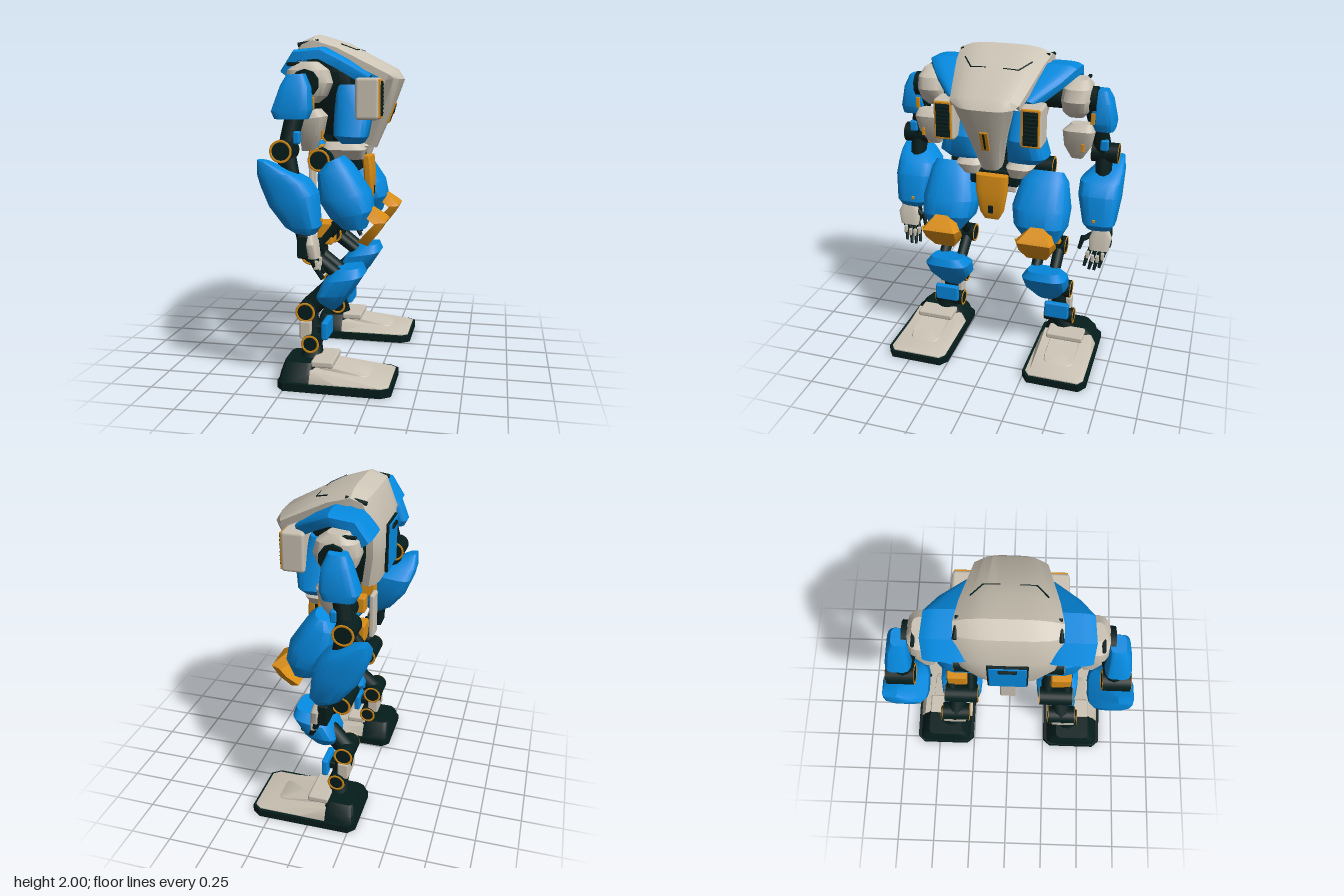
import * as THREE from 'three';
import { toCreasedNormals } from 'three/addons/utils/BufferGeometryUtils.js';
import { RoundedBoxGeometry } from 'three/addons/geometries/RoundedBoxGeometry.js';

const material = (name, color) => Object.assign(new THREE.MeshStandardMaterial({ color }), { name });
const blue = material('blue armour', 0x058ae0);
const white = material('warm white armour', 0xccc4b5);
const dark = material('dark frame', 0x051d1c);
const orange = material('orange accent', 0xdc8f16);

// Closed skin through equal-length rings, capped at both ends
function loft(rings, crease = 0.55) {
  const n = rings[0].length, pos = rings.flat(2), index = [];
  for (let i = 0; i < rings.length - 1; i++)
    for (let j = 0; j < n; j++) {
      const a = i * n + j, b = i * n + (j + 1) % n;
      index.push(a, b, a + n, b, b + n, a + n);
    }
  [0, rings.length - 1].forEach(i => {
    const c = pos.length / 3;
    pos.push(...[0, 1, 2].map(k => rings[i].reduce((s, p) => s + p[k] / n, 0)));
    for (let j = 0; j < n; j++) {
      const a = i * n + j, b = i * n + (j + 1) % n;
      index.push(...(i ? [a, b, c] : [b, a, c]));
    }
  });
  // Turn the faces outwards if the enclosed volume is negative
  let volume = 0;
  const v = k => new THREE.Vector3().fromArray(pos, 3 * index[k]);
  for (let k = 0; k < index.length; k += 3) volume += v(k).dot(v(k + 1).cross(v(k + 2)));
  if (volume < 0) index.reverse();
  const g = new THREE.BufferGeometry();
  g.setAttribute('position', new THREE.Float32BufferAttribute(pos, 3));
  g.setIndex(index);
  return toCreasedNormals(g, crease);
}

// Armour pod from sections [xBack, yBack, xFront, yFront, zMin, zMax]
function pod(sections, power = 3, sides = 16) {
  const sq = v => Math.sign(v) * Math.abs(v) ** (2 / power);
  return loft(sections.map(([xa, ya, xb, yb, za, zb]) => Array.from({ length: sides }, (_, j) => {
    const t = (j + 0.5) / sides * Math.PI * 2, u = (sq(Math.cos(t)) + 1) / 2, w = (sq(Math.sin(t)) + 1) / 2;
    return [xa + (xb - xa) * u, ya + (yb - ya) * u, za + (zb - za) * w];
  })));
}

// Curved plate following a side path of [x, y, zMin, zMax]; its edges bend inwards
function plate(path, thickness, drop) {
  return loft(path.map(([x, y, za, zb], i) => {
    const p = path[Math.max(i - 1, 0)], q = path[Math.min(i + 1, path.length - 1)];
    const len = Math.hypot(q[0] - p[0], q[1] - p[1]), nx = (p[1] - q[1]) / len, ny = (q[0] - p[0]) / len;
    const row = depth => Array.from({ length: 9 }, (_, j) => {
      const t = j / 4 - 1, o = -drop * t ** 4 - depth;
      return [x + nx * o, y + ny * o, (za + zb) / 2 + (zb - za) / 2 * t];
    });
    return [...row(0), ...row(thickness).reverse()];
  }));
}

const box = (w, h, d, x, y, z, r = 0.012) =>
  new RoundedBoxGeometry(w, h, d, 1, Math.min(r, w / 3, h / 3, d / 3)).translate(x, y, z);

function bar(a, b, r0, r1 = r0, sides = 10) {
  const d = new THREE.Vector3(...b).sub(new THREE.Vector3(...a));
  const g = new THREE.CylinderGeometry(r1, r0, d.length(), sides).translate(0, d.length() / 2, 0);
  g.applyQuaternion(new THREE.Quaternion().setFromUnitVectors(new THREE.Vector3(0, 1, 0), d.normalize()));
  return g.translate(...a);
}

// Mirror across the centre plane and restore the winding
function mirrored(g) {
  const m = g.index ? g.toNonIndexed() : g.clone();
  for (const a of [m.attributes.position, m.attributes.normal])
    for (let i = 0; i < a.count; i += 3)
      [0, 2, 1].map(k => [a.getX(i + k), a.getY(i + k), -a.getZ(i + k)]).forEach((p, k) => a.setXYZ(i + k, ...p));
  return m;
}

export function createModel() {
  const model = new THREE.Group();
  model.name = 'walkingRobot';
  const part = (name, g, mat) => {
    const mesh = new THREE.Mesh(g, mat);
    mesh.name = name;
    model.add(mesh);
  };
  const pair = (name, g, mat) => {
    part(name + 'A', g, mat);
    part(name + 'B', mirrored(g), mat);
  };
  const joint = (name, x, y, z0, z1, r) => {
    pair(name, bar([x, y, z0], [x, y, z1], r, r, 24), dark);
    for (const z of [z0, z1])
      pair(name + 'Ring', new THREE.TorusGeometry(r * 0.9, 0.007, 6, 24).scale(1, 1, 0.4).translate(x, y, z), orange);
  };

  // Torso
  part('carapace', plate([[-0.28, 1.42, -0.2, 0.2], [-0.315, 1.62, -0.25, 0.25], [-0.315, 1.8, -0.27, 0.27],
    [-0.25, 1.96, -0.28, 0.28], [-0.15, 2, -0.28, 0.28], [0, 1.955, -0.26, 0.26], [0.3, 1.8, -0.2, 0.2],
    [0.34, 1.74, -0.17, 0.17], [0.27, 1.54, -0.115, 0.115], [0.18, 1.33, -0.065, 0.065]], 0.04, 0.04), white);
  part('torsoFrame', pod([[-0.2, 1.9, 0.02, 1.87, -0.24, 0.24], [-0.27, 1.78, 0.1, 1.78, -0.26, 0.26],
    [-0.27, 1.6, 0.12, 1.6, -0.23, 0.23], [-0.22, 1.42, 0.1, 1.4, -0.14, 0.14]], 4), dark);
  part('waist', bar([0, 1.2, 0], [-0.02, 1.45, 0], 0.08), dark);
  part('pelvisFrame', box(0.2, 0.1, 0.3, 0, 1.25, 0), dark);
  part('backPanelRim', box(0.02, 0.29, 0.22, -0.319, 1.63, 0), dark);
  part('backPanel', box(0.02, 0.275, 0.205, -0.324, 1.63, 0), blue);
  part('backLatch', box(0.02, 0.025, 0.1, -0.336, 1.74, 0), dark);
  part('chestMarker', box(0.012, 0.13, 0.05, 0, 0, 0).rotateZ(-0.36).translate(0.271, 1.54, 0), orange);
  part('chestSlot', box(0.008, 0.11, 0.012, 0, 0, 0).rotateZ(-0.36).translate(0.277, 1.54, 0), dark);
  part('groinPlate', pod([[0.1, 1.28, 0.155, 1.28, -0.098, 0.098], [0.11, 1.18, 0.165, 1.18, -0.095, 0.095],
    [0.11, 1.05, 0.165, 1.05, -0.072, 0.072], [0.12, 1, 0.15, 1, -0.045, 0.045]], 5), orange);
  part('groinSlot', box(0.008, 0.05, 0.03, 0.165, 1.07, 0), dark);
  part('tailPlate', box(0.03, 0.28, 0.1, -0.225, 1.16, 0), white);
  pair('tailMount', box(0.09, 0.1, 0.08, -0.165, 1.28, 0.12), orange);
  pair('roofSeam', bar([0.08, 1.912, 0.05], [0.08, 1.909, 0.14], 0.004), dark);
  pair('roofSeamSlant', bar([0.08, 1.909, 0.14], [0, 1.941, 0.2], 0.004), dark);
  pair('roofNotch', bar([-0.24, 1.935, 0.268], [-0.12, 1.955, 0.258], 0.012), dark);

  pair('shoulderYoke', plate([[-0.31, 1.79, 0.2, 0.44], [-0.23, 1.905, 0.2, 0.45], [-0.07, 1.92, 0.2, 0.44],
    [0.05, 1.855, 0.18, 0.37], [0.18, 1.765, 0.16, 0.25]], 0.05, 0.02), blue);
  pair('chestSide', pod([[-0.03, 1.71, 0.1, 1.71, 0.1, 0.25], [-0.04, 1.52, 0.18, 1.52, 0.08, 0.3],
    [-0.04, 1.42, 0.16, 1.41, 0.08, 0.33], [0, 1.37, 0.13, 1.37, 0.08, 0.28]]), blue);
  pair('ventBox', box(0.14, 0.24, 0.13, 0.17, 1.63, 0.255, 0.02), white);
  pair('ventFrame', box(0.02, 0.222, 0.104, 0.237, 1.63, 0.257), orange);
  pair('ventGrille', box(0.016, 0.2, 0.086, 0.242, 1.63, 0.257), dark);
  for (let i = 0; i < 8; i++) pair('ventSlat', box(0.012, 0.01, 0.075, 0.248, 1.55 + i * 0.023, 0.257), dark);
  pair('pelvisGuard', pod([[-0.1, 1.37, 0.1, 1.37, 0.1, 0.21], [-0.12, 1.33, 0.14, 1.33, 0.07, 0.24],
    [-0.1, 1.27, 0.12, 1.27, 0.09, 0.19]], 4), white);

  // Arms
  pair('shoulderAxle', bar([-0.13, 1.72, 0.2], [-0.13, 1.72, 0.56], 0.075), dark);
  pair('shoulderBall', pod([[-0.19, 1.835, -0.08, 1.835, 0.39, 0.5], [-0.25, 1.79, -0.02, 1.79, 0.36, 0.53],
    [-0.265, 1.72, 0, 1.72, 0.35, 0.535], [-0.24, 1.65, -0.03, 1.65, 0.36, 0.52],
    [-0.18, 1.61, -0.08, 1.61, 0.39, 0.49]]), white);
  pair('shoulderSlot', box(0.09, 0.02, 0.02, -0.2, 1.823, 0.49), dark);
  pair('upperArmLink', bar([-0.15, 1.7, 0.53], [-0.22, 1.37, 0.6], 0.06, 0.05), dark);
  pair('upperArmGuard', pod([[-0.22, 1.765, -0.12, 1.77, 0.53, 0.615], [-0.25, 1.71, -0.09, 1.7, 0.525, 0.645],
    [-0.3, 1.57, -0.08, 1.58, 0.52, 0.67], [-0.28, 1.53, -0.1, 1.53, 0.54, 0.665]], 4), blue);
  pair('upperArmMarker', box(0.012, 0.07, 0.025, -0.085, 1.61, 0.545), orange);
  pair('innerArmGuard', pod([[-0.14, 1.575, -0.06, 1.58, 0.42, 0.54], [-0.17, 1.52, -0.03, 1.54, 0.37, 0.56],
    [-0.17, 1.42, -0.05, 1.44, 0.38, 0.54], [-0.17, 1.345, -0.1, 1.35, 0.42, 0.49]], 4), white);
  pair('innerArmMarker', box(0.012, 0.05, 0.02, -0.045, 1.44, 0.5), orange);
  pair('elbowTab', box(0.04, 0.07, 0.05, -0.16, 1.43, 0.61), blue);
  joint('elbow', -0.23, 1.36, 0.53, 0.69, 0.062);
  pair('forearmFrame', bar([-0.23, 1.36, 0.6], [-0.12, 0.88, 0.63], 0.055, 0.04), dark);
  pair('forearmShell', pod([[-0.36, 1.315, -0.3, 1.305, 0.63, 0.715], [-0.37, 1.24, -0.16, 1.24, 0.53, 0.73],
    [-0.355, 1.17, -0.1, 1.2, 0.47, 0.73], [-0.31, 1.06, -0.05, 1.13, 0.47, 0.73],
    [-0.22, 0.95, -0.03, 0.95, 0.51, 0.715], [-0.17, 0.92, -0.06, 0.905, 0.54, 0.69]], 3.5), blue);
  pair('forearmMarker', box(0.012, 0.02, 0.02, -0.033, 0.98, 0.59), orange);

  // Hands
  pair('palm', box(0.06, 0.13, 0.125, -0.115, 0.845, 0.635), dark);
  pair('handPlate', pod([[-0.1, 0.915, -0.06, 0.91, 0.59, 0.68], [-0.1, 0.86, -0.045, 0.86, 0.565, 0.705],
    [-0.09, 0.78, -0.035, 0.78, 0.57, 0.69]], 4), white);
  for (let i = 0; i < 4; i++) {
    const z = 0.677 - i * 0.031, low = 0.69 - (i === 1 || i === 2 ? 0.02 : 0);
    pair('fingerBase', bar([-0.08, 0.8, z], [-0.05, low + 0.03, z - 0.025], 0.014, 0.013, 8), dark);
    pair('fingerPlate', box(0.025, 0.05, 0.022, -0.048, low + 0.05, z - 0.02, 0.006), white);
    pair('fingerTip', bar([-0.05, low + 0.03, z - 0.025], [-0.025, low - 0.02, z - 0.035], 0.013, 0.009, 8), dark);
  }
  pair('thumbBase', bar([-0.08, 0.87, 0.58], [-0.06, 0.84, 0.53], 0.018, 0.016, 8), dark);
  pair('thumbTip', bar([-0.06, 0.86, 0.53], [-0.04, 0.78, 0.51], 0.016, 0.011, 8), dark);

  // Thighs and knees
  joint('hip', -0.11, 1.275, 0.12, 0.32, 0.066);
  pair('thighShell', pod([[-0.06, 1.265, 0.03, 1.305, 0.2, 0.4], [-0.115, 1.2, 0.085, 1.255, 0.15, 0.43],
    [-0.11, 1.05, 0.19, 1.1, 0.11, 0.46], [-0.04, 0.95, 0.21, 1, 0.13, 0.455],
    [0.03, 0.89, 0.17, 0.89, 0.2, 0.41]], 2.8), blue);
  pair('kneeCap', loft([[0.2, 1.015, 0.24, 0.36, -0.035], [0.28, 0.95, 0.18, 0.41, -0.02], [0.29, 0.935, 0.17, 0.42, 0],
    [0.25, 0.87, 0.175, 0.415, 0.015], [0.185, 0.79, 0.21, 0.38, 0.025]].map(([x, y, a, b, s]) =>
    [[x, y, a + 0.025], [x, y, b - 0.025], [x - 0.055, y + s, b], [x - 0.055, y + s, a]])), orange);
  for (const z of [0.25, 0.37]) {
    pair('thighRod', bar([0.04, 0.95, z], [-0.14, 0.735, z], 0.035, 0.03), dark);
    pair('shinRod', bar([-0.14, 0.735, z], [0.01, 0.62, z], 0.038, 0.035), dark);
  }
  pair('kneeGuard', box(0.09, 0.13, 0.13, -0.06, 0.86, 0.33), orange);
  joint('knee', -0.14, 0.735, 0.2, 0.41, 0.058);

  // Shins and ankles
  pair('shinShell', pod([[-0.005, 0.645, 0.15, 0.668, 0.22, 0.42], [-0.07, 0.58, 0.168, 0.62, 0.18, 0.46],
    [-0.115, 0.49, 0.1, 0.515, 0.19, 0.455], [-0.115, 0.45, 0.03, 0.43, 0.24, 0.41],
    [-0.07, 0.42, -0.01, 0.395, 0.27, 0.37]], 3.5), blue);
  pair('shinLink', bar([-0.04, 0.52, 0.34], [-0.165, 0.4, 0.36], 0.06), dark);
  joint('upperAnkle', -0.165, 0.4, 0.27, 0.45, 0.058);
  pair('ankleLink', bar([-0.165, 0.4, 0.37], [-0.13, 0.2, 0.39], 0.055), dark);
  pair('ankleGuard', box(0.07, 0.11, 0.16, -0.165, 0.295, 0.38), white);
  pair('anklePlate', box(0.04, 0.11, 0.16, -0.05, 0.295, 0.38), blue);
  pair('anklePlateMount', box(0.08, 0.05, 0.07, -0.1, 0.29, 0.38), dark);
  joint('lowerAnkle', -0.13, 0.22, 0.29, 0.48, 0.052);

  // Feet
  const outline = new THREE.Shape([[-0.29, 0.3], [-0.25, 0.255], [0.31, 0.25], [0.365, 0.29], [0.365, 0.62],
    [0.31, 0.66], [-0.25, 0.655], [-0.29, 0.61]].map(p => new THREE.Vector2(...p)));
  pair('sole', new THREE.ExtrudeGeometry(outline, { depth: 0.045, bevelEnabled: false })
    .rotateX(Math.PI / 2).translate(0, 0.045, 0), dark);
  pair('heel', pod([[-0.29, 0.03, -0.07, 0.03, 0.27, 0.64], [-0.28, 0.09, -0.08, 0.09, 0.29, 0.62],
    [-0.265, 0.14, -0.09, 0.14, 0.34, 0.57]], 6), dark);
  pair('footShell', loft([[-0.1, 0.11, 0.27], [0.05, 0.09, 0.27], [0.31, 0.06, 0.27], [0.35, 0.052, 0.3]].map(
    ([x, y, a]) => [[x, 0.035, a], [x, 0.035, 0.91 - a], [x, 0.05, 0.91 - a], [x, y, 0.88 - a], [x, y, a + 0.03],
      [x, 0.05, a]])), white);
  pair('footRidge', pod([[-0.08, 0.06, 0.24, 0.06, 0.35, 0.56], [-0.08, 0.13, 0.22, 0.075, 0.36, 0.55]], 6), white);
  pair('instepPlate', box(0.13, 0.04, 0.24, -0.04, 0.135, 0.45), white);
  pair('ankleSocket', bar([-0.13, 0.12, 0.42], [-0.13, 0.22, 0.39], 0.07, 0.05), dark);
  return model;
}
